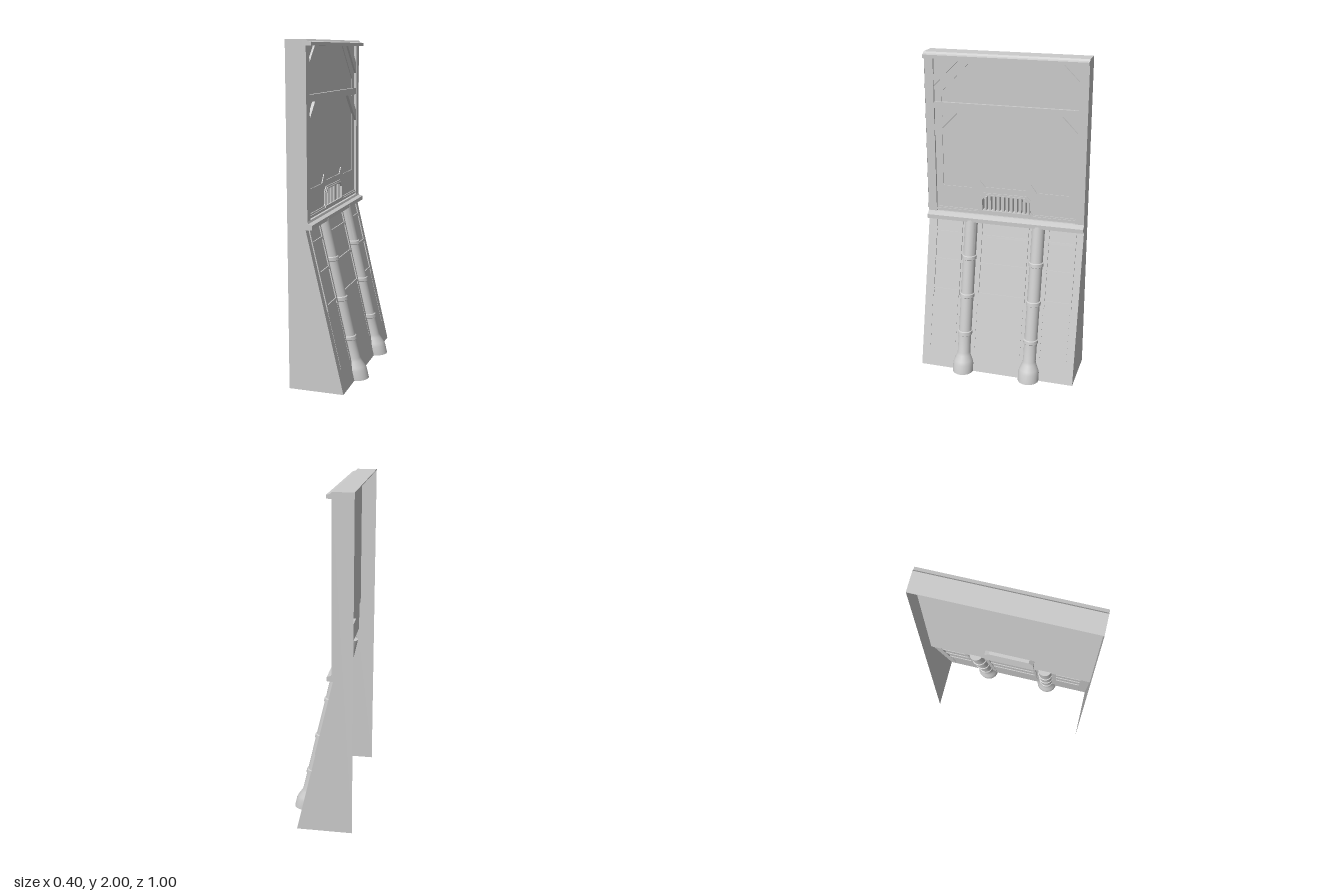
import * as THREE from 'three';
import { toCreasedNormals } from 'three/addons/utils/BufferGeometryUtils.js';

const material = new THREE.MeshStandardMaterial({ color: 0xcccccc, side: THREE.DoubleSide });
const SLOPE = 0.22 / 0.95;

export function createModel() {
  const root = new THREE.Group();
  const add = (name, geometry) => {
    const mesh = new THREE.Mesh(geometry, material);
    mesh.name = name;
    root.add(mesh);
    return mesh;
  };
  const shapeOf = (pts) => new THREE.Shape(pts.map(([a, b]) => new THREE.Vector2(a, b)));
  const mirrored = (half) => [...half, ...half.map(([a, b]) => [-a, b]).reverse()];

  // Box given by its limits
  const box = (name, x0, x1, y0, y1, z0, z1) => add(name,
    new THREE.BoxGeometry(x1 - x0, y1 - y0, z1 - z0).translate((x0 + x1) / 2, (y0 + y1) / 2, (z0 + z1) / 2));

  // Flat (z, y) outline given thickness from x0 to x1
  const plate = (name, pts, x0, x1, hole) => {
    const shape = shapeOf(pts);
    if (hole) shape.holes.push(new THREE.Path(hole.map(([a, b]) => new THREE.Vector2(a, b))));
    const geo = new THREE.ExtrudeGeometry(shape, { depth: x1 - x0, bevelEnabled: false });
    return add(name, geo.rotateY(Math.PI / 2).translate(x0, 0, 0));
  };

  // Lean a geometry so that x = 0 follows the sloping lower face
  const lean = (geo) => {
    const p = geo.attributes.position;
    for (let i = 0; i < p.count; i++) p.setX(i, p.getX(i) + 0.13 - SLOPE * p.getY(i));
    geo.computeVertexNormals();
    return geo;
  };

  // Side walls; back and underside are open
  const side = [[-0.2, 0], [0.13, 0], [-0.09, 0.95], [-0.08, 0.99], [-0.08, 2], [-0.2, 2]];
  for (const s of [1, -1]) {
    const geo = new THREE.ShapeGeometry(shapeOf(side));
    if (s < 0) geo.rotateY(Math.PI).scale(-1, 1, 1), geo.index.array.reverse(), geo.computeVertexNormals();
    add('sideWall', geo.translate(0, 0, s * 0.5));
  }

  // Top cap and middle ledge, extruded across the full width
  const across = (name, pts) => add(name,
    new THREE.ExtrudeGeometry(shapeOf(pts), { depth: 1, bevelEnabled: false }).translate(0, 0, -0.5));
  across('topCap', [[-0.2, 1.995], [-0.2, 2], [-0.08, 2], [-0.07, 1.99], [-0.05, 1.985], [-0.05, 1.965],
    [-0.1, 1.965], [-0.1, 1.995]]);
  across('middleLedge', [[-0.1, 1], [-0.08, 1], [-0.075, 0.988], [-0.052, 0.98], [-0.052, 0.955], [-0.1, 0.95]]);

  // Upper wall: stepped plate with a shaped opening, and the panel behind it
  const opening = mirrored([[0.4, 1.76], [0.4, 1.17], [0.2, 1.17], [0.163, 1.22], [0.127, 1.18]]);
  opening.unshift([0.2, 1.965]);
  opening.push([-0.2, 1.965]);
  const ventHole = mirrored([[0.145, 1.03], [0.145, 1.1], [0.12, 1.128]]);
  const wall = plate('upperPlate', [[-0.5, 0.98], [0.5, 0.98], [0.5, 1.97], [-0.5, 1.97]], -0.1, -0.095, opening);
  const withVent = shapeOf([[-0.5, 0.98], [0.5, 0.98], [0.5, 1.97], [-0.5, 1.97]]);
  for (const hole of [opening, ventHole]) {
    withVent.holes.push(new THREE.Path(hole.map(([a, b]) => new THREE.Vector2(a, b))));
  }
  wall.geometry = new THREE.ExtrudeGeometry(withVent, { depth: 0.005, bevelEnabled: false })
    .rotateY(Math.PI / 2).translate(-0.1, 0, 0);
  box('backPanel', -0.115, -0.112, 1.15, 1.97, -0.45, 0.45);

  // Posts, cross beam and corner braces
  box('crossBeam', -0.1, -0.081, 1.66, 1.7, -0.445, 0.445);
  for (const s of [1, -1]) {
    box('post', -0.1, -0.08, 0.98, 1.97, s > 0 ? 0.445 : -0.499, s > 0 ? 0.499 : -0.445);
    for (const [top, outer, inner] of [[1.965, 0.1, 0.17], [1.66, 0.1, 0.17]]) {
      plate('cornerBrace', [[s * 0.445, top - outer], [s * (0.445 - outer), top],
        [s * (0.445 - inner), top], [s * 0.445, top - inner]], -0.1, -0.083);
    }
  }

  // Vent: raised rim with a sill running out to both posts, rear box and slats
  const rim = (r, base) => [[0.445, base], [r + 0.012, base], [r, base + 0.012], [r, 1.108 + (r - 0.155)],
    [r - 0.028, 1.134 + (r - 0.155)]];
  plate('ventRim', mirrored([[0.445, 1.012], ...rim(0.165, 1.03)]), -0.097, -0.089, ventHole);
  plate('ventRimStep', mirrored([[0.445, 1.008], ...rim(0.156, 1.021)]), -0.097, -0.084, ventHole);
  const shell = mirrored([[0.15, 1.025], [0.15, 1.102], [0.122, 1.133]]);
  plate('ventShell', shell, -0.128, -0.098, ventHole);
  plate('ventBack', shell, -0.13, -0.127);
  for (let i = 0; i < 10; i++) {
    const z = -0.126 + i * 0.028;
    box('ventSlat', -0.127, -0.092, 1.03, 1.128 - (i % 9 ? 0 : 0.012), z - 0.006, z + 0.006);
  }

  // Sloping lower face with its raised grid of ribs and bars
  add('lowerFace', lean(new THREE.PlaneGeometry(1, 0.96).rotateY(Math.PI / 2).translate(0, 0.48, 0)));
  const slopeBar = (name, y0, y1, z0, z1, h) => add(name, lean(
    new THREE.BoxGeometry(h * 2, y1 - y0, z1 - z0).translate(0, (y0 + y1) / 2, (z0 + z1) / 2)));
  for (const z of [-0.45, -0.28, -0.15, 0.15, 0.28, 0.45]) {
    slopeBar('slopeRib', 0.475, 0.95, z - 0.008, z + 0.008, 0.007);
    slopeBar('slopeSeam', 0.13, 0.475, z - 0.002, z + 0.002, 0.002);
  }
  for (const [z0, z1] of [[-0.45, -0.28], [-0.15, 0.15], [0.28, 0.45]]) {
    for (const y of [0.865, 0.69, 0.5]) slopeBar('slopeCrossBar', y - 0.008, y + 0.008, z0, z1, 0.006);
  }

  // Leaning pipes with coupling bands and a flared foot
  const profile = [[0, 0], [0.066, 0], [0.066, 0.055], [0.06, 0.075], [0.045, 0.108], [0.041, 0.125]];
  for (const y of [0.25, 0.49, 0.73]) {
    profile.push([0.041, y - 0.014], [0.047, y - 0.01], [0.047, y + 0.01], [0.041, y + 0.014]);
  }
  profile.push([0.041, 0.965], [0, 0.965]);
  for (const s of [1, -1]) {
    const geo = new THREE.LatheGeometry(profile.map(([r, y]) => new THREE.Vector2(r, y)), 24);
    add('pipe', toCreasedNormals(lean(geo.translate(0.003, 0, s * 0.217)), 0.5));
  }
  return root;
}
